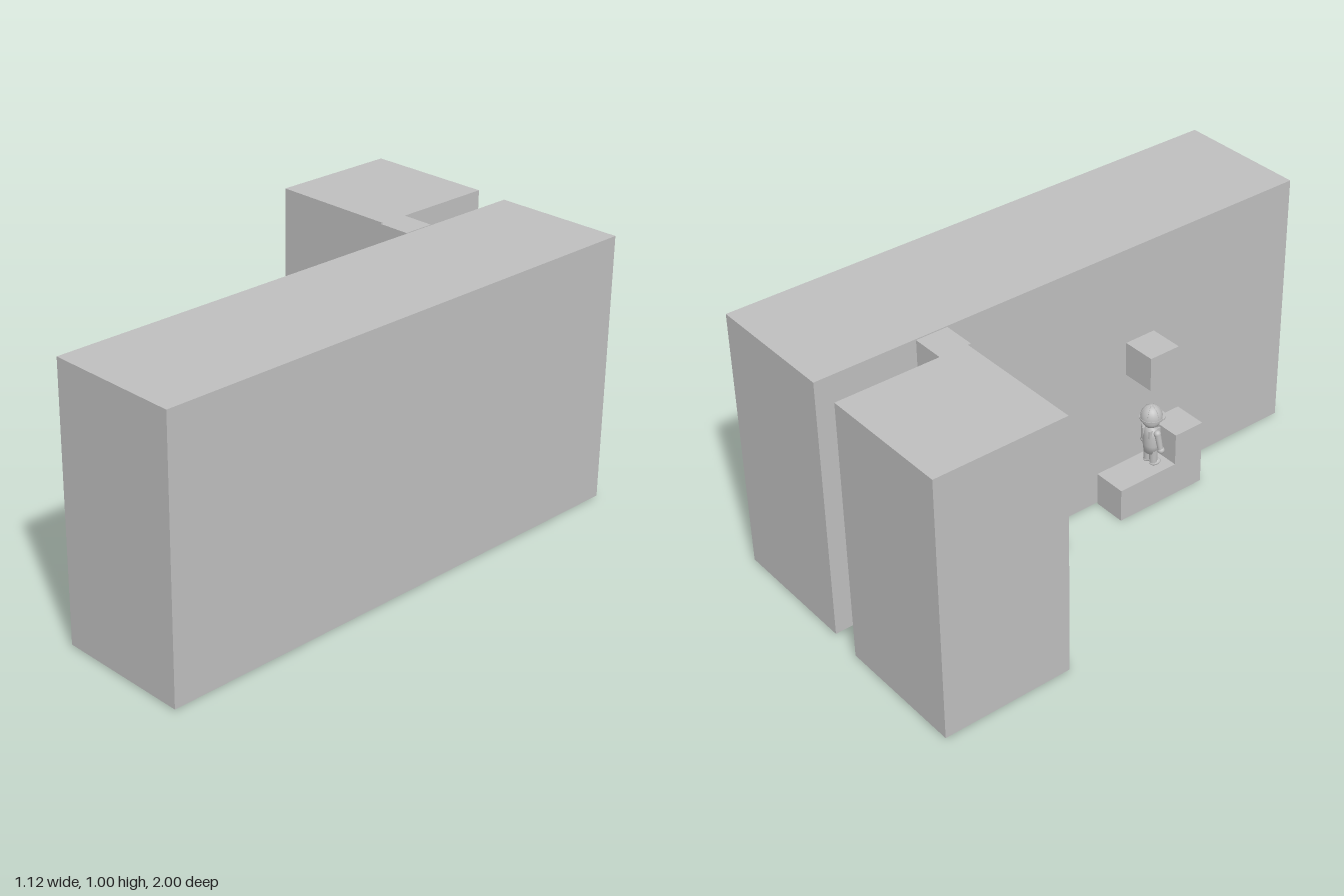
import * as THREE from 'three';

export function createModel() {
  const model = new THREE.Group();
  const grey = new THREE.MeshStandardMaterial({ color: 0xbfbfbf });
  grey.name = 'plain grey';

  const add = (parent, name, geometry, x = 0, y = 0, z = 0) => {
    const mesh = new THREE.Mesh(geometry, grey);
    mesh.name = name;
    mesh.position.set(x, y, z);
    parent.add(mesh);
    return mesh;
  };
  // Box given by its limits on each axis
  const block = (name, [x0, x1], [y0, y1], [z0, z1]) =>
    add(model, name, new THREE.BoxGeometry(x1 - x0, y1 - y0, z1 - z0),
      (x0 + x1) / 2, (y0 + y1) / 2, (z0 + z1) / 2);

  // Large masses and the narrow piece joining them
  block('longWall', [0.06, 0.56], [0.005, 1], [-0.99, 1]);
  block('rearTower', [-0.56, -0.068], [0.005, 1], [-1, -0.507]);
  block('connector', [-0.068, 0.055], [0.005, 1], [-0.615, -0.495]);

  // Solid extruded step profiles filling the passage
  const lane = [-0.07, 0.06];
  const steps = (name, start, heights) => {
    const shape = new THREE.Shape();
    shape.moveTo(start, 0);
    heights.forEach((h, i) => {
      shape.lineTo(start - i * 0.125, h);
      shape.lineTo(start - (i + 1) * 0.125, h);
    });
    shape.lineTo(start - heights.length * 0.125, 0);
    const geometry = new THREE.ExtrudeGeometry(shape, { depth: lane[1] - lane[0], bevelEnabled: false });
    geometry.rotateY(-Math.PI / 2);
    add(model, name, geometry, lane[1]);
  };
  steps('frontPlatform', 0.5, [0.255, 0.13, 0.13]);
  steps('rearStairs', -0.12, [0.5, 0.63, 0.755]);
  block('floatingBlock', lane, [0.5, 0.63], [0.25, 0.375]);

  // Small figure standing on the platform
  const figure = new THREE.Group();
  figure.name = 'figure';
  figure.position.set(-0.005, 0.13, 0.315);
  model.add(figure);

  const ball = (name, r, x, y, z, sx = 1, sy = 1, sz = 1) =>
    add(figure, name, new THREE.SphereGeometry(r, 20, 14).scale(sx, sy, sz), x, y, z);
  const limb = (name, from, to, r0, r1) => {
    const a = new THREE.Vector3(...from), b = new THREE.Vector3(...to);
    const d = b.clone().sub(a);
    const mesh = add(figure, name, new THREE.CylinderGeometry(r1, r0, d.length(), 14));
    mesh.position.copy(a).addScaledVector(d, 0.5);
    mesh.quaternion.setFromUnitVectors(new THREE.Vector3(0, 1, 0), d.normalize());
  };

  // Head and domed cap with seams and a peak
  ball('head', 0.034, 0, 0.19, 0);
  add(figure, 'capDome', new THREE.SphereGeometry(0.04, 24, 10, 0, Math.PI * 2, 0, Math.PI / 2)
    .scale(1, 1.2, 1), 0, 0.199, 0);
  add(figure, 'capBand', new THREE.CylinderGeometry(0.042, 0.041, 0.008, 24), 0, 0.196, 0);
  add(figure, 'capPeak', new THREE.CylinderGeometry(0.038, 0.038, 0.005, 24), 0, 0.194, 0.018);
  ball('capButton', 0.005, 0, 0.246, 0, 1, 0.5, 1);
  for (let i = 0; i < 3; i++) {
    const seam = add(figure, 'capSeam', new THREE.TorusGeometry(0.04, 0.0012, 6, 24, Math.PI)
      .scale(1, 1.2, 1), 0, 0.199, 0);
    seam.rotation.y = (i * Math.PI) / 3;
  }

  // Torso, bib and paired limbs
  const torso = [[0, 0.05], [0.026, 0.052], [0.03, 0.085], [0.029, 0.125], [0.022, 0.155], [0, 0.162]]
    .map(([r, y]) => new THREE.Vector2(r, y));
  add(figure, 'torso', new THREE.LatheGeometry(torso, 20).scale(1.1, 1, 0.85));
  add(figure, 'bib', new THREE.BoxGeometry(0.034, 0.05, 0.006), 0, 0.105, 0.025);
  for (const s of [-1, 1]) {
    add(figure, 'strap', new THREE.BoxGeometry(0.007, 0.03, 0.05), s * 0.018, 0.138, 0);
    ball('shoulder', 0.013, s * 0.034, 0.143, 0);
    limb('arm', [s * 0.045, 0.082, 0.006], [s * 0.035, 0.143, 0], 0.01, 0.012);
    ball('hand', 0.013, s * 0.046, 0.076, 0.008);
    limb('leg', [s * 0.016, 0.01, 0], [s * 0.015, 0.066, 0], 0.014, 0.016);
    ball('shoe', 0.016, s * 0.017, 0.01, 0.008, 1, 0.65, 1.5);
  }
  return model;
}
